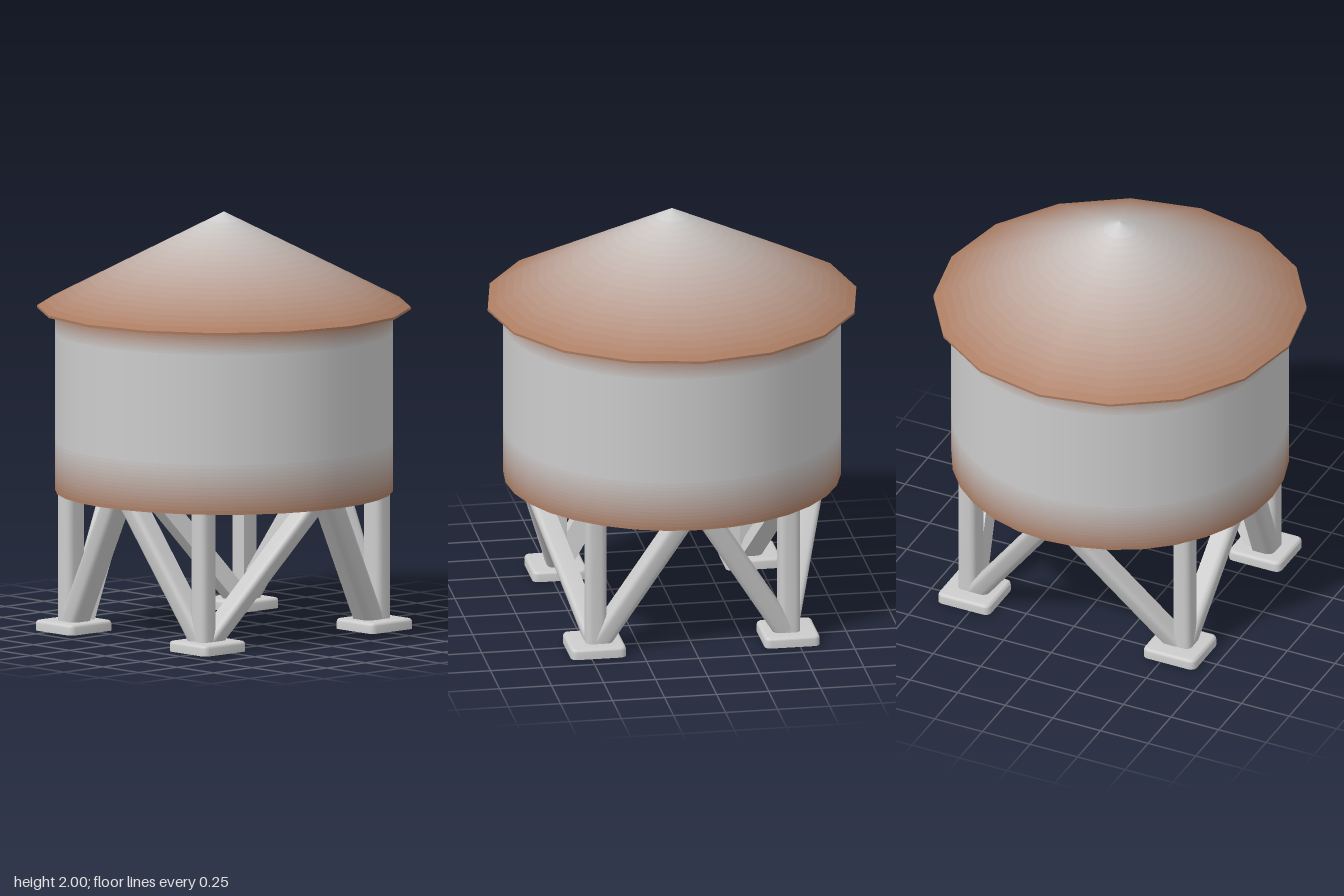
import * as THREE from 'three';
import { toCreasedNormals } from 'three/addons/utils/BufferGeometryUtils.js';

const GREY = new THREE.Color(0xcccccc);
const RUST = new THREE.Color(0xaa7a5e);
const FLOOR_Y = 0.665, EAVE_Y = 1.535;

// Grey blended towards rust: t = 0 is clean metal, t = 1 is fully rusted
function metal(t = 0) {
  return new THREE.MeshStandardMaterial({ color: GREY.clone().lerp(RUST, t) });
}

function add(parent, name, geometry, material) {
  const mesh = new THREE.Mesh(geometry, material);
  mesh.name = name;
  parent.add(mesh);
  return mesh;
}

// Open ring between two radii and two heights
function band(parent, name, rTop, rBottom, yTop, yBottom, sides, rust) {
  const g = new THREE.CylinderGeometry(rTop, rBottom, yTop - yBottom, sides, 1, true);
  g.translate(0, (yTop + yBottom) / 2, 0);
  add(parent, name, g, metal(rust));
}

// Rectangle w by d in plan; a corner is rounded unless isSharp(cx, cz) says otherwise.
// Signs sx, sz mirror it into the wanted quadrant.
function plan(w, d, r, sx, sz, isSharp = () => false) {
  const points = [];
  [[1, 1], [-1, 1], [-1, -1], [1, -1]].forEach(([cx, cz], i) => {
    const sharp = isSharp(cx, cz);
    const rad = sharp ? 0 : r;
    const steps = sharp ? 0 : 4;
    for (let k = 0; k <= steps; k++) {
      const a = (i + k / 4) * Math.PI / 2;
      const x = cx * (w / 2 - rad) + rad * Math.cos(a);
      const z = cz * (d / 2 - rad) + rad * Math.sin(a);
      points.push(new THREE.Vector2(sx * x, -sz * z));
    }
  });
  return new THREE.Shape(points);
}

// Upright prism whose top is shifted sideways, so both ends are cut level
function strut(shape, from, to) {
  const h = to.y - from.y;
  const g = new THREE.ExtrudeGeometry(shape, { depth: h, bevelEnabled: false });
  g.rotateX(-Math.PI / 2);
  const p = g.attributes.position;
  for (let i = 0; i < p.count; i++) {
    const t = p.getY(i) / h;
    p.setXYZ(i,
      p.getX(i) + THREE.MathUtils.lerp(from.x, to.x, t),
      p.getY(i) + from.y,
      p.getZ(i) + THREE.MathUtils.lerp(from.z, to.z, t));
  }
  return toCreasedNormals(g, 0.7);
}

// Foot plate: rounded upper rim, flat underside
function footPlate(sx, sz) {
  const g = new THREE.ExtrudeGeometry(plan(0.275, 0.265, 0.03, sx, sz), {
    depth: 0.035, bevelThickness: 0.015, bevelSize: 0.015, bevelOffset: -0.015, bevelSegments: 3,
  });
  g.rotateX(-Math.PI / 2);
  const p = g.attributes.position;
  for (let i = 0; i < p.count; i++) p.setY(i, Math.max(0, p.getY(i)));
  g.translate(0.54 * sx, 0, 0.465 * sz);
  return toCreasedNormals(g, 0.7);
}

export function createModel() {
  const model = new THREE.Group();
  model.name = 'waterTank';

  // Tank wall: rust fades out from both rims
  const wall = new THREE.Group();
  wall.name = 'tankWall';
  const fade = (y0, y1, n) => {
    for (let i = 0; i < n; i++) {
      const a = THREE.MathUtils.lerp(y0, y1, i / n);
      const b = THREE.MathUtils.lerp(y0, y1, (i + 1) / n);
      band(wall, 'rustedWallBand', 0.8, 0.8, Math.max(a, b), Math.min(a, b), 32, 1 - (i + 0.5) / n);
    }
  };
  fade(FLOOR_Y, 0.92, 14);
  fade(EAVE_Y, 1.42, 10);
  band(wall, 'cleanWallBand', 0.8, 0.8, 1.42, 0.92, 32, 0);
  model.add(wall);

  // Tank floor: rings from clean centre to rusted rim, facing down
  const floor = new THREE.Group();
  floor.name = 'tankFloor';
  const floorRings = 14;
  for (let i = 0; i < floorRings; i++) {
    const g = new THREE.RingGeometry(0.8 * i / floorRings, 0.8 * (i + 1) / floorRings, 32);
    g.rotateX(Math.PI / 2).translate(0, FLOOR_Y, 0);
    add(floor, 'floorRing', g, metal((i + 0.5) / floorRings));
  }
  model.add(floor);

  // Sixteen-sided conical roof, rustier towards the eaves
  const roof = new THREE.Group();
  roof.name = 'roof';
  const roofBands = 22, roofR = 0.885, lipY = 1.547;
  for (let i = 0; i < roofBands; i++) {
    const a = i / roofBands, b = (i + 1) / roofBands;
    band(roof, 'roofBand', roofR * a, roofR * b,
      THREE.MathUtils.lerp(2, lipY, a), THREE.MathUtils.lerp(2, lipY, b), 16, (a + b) / 2);
  }
  band(roof, 'roofLip', roofR, roofR, lipY, EAVE_Y, 16, 1);
  const soffit = new THREE.CircleGeometry(roofR, 16);
  soffit.rotateX(Math.PI / 2).translate(0, EAVE_Y, 0);
  add(roof, 'roofUnderside', soffit, metal(1));
  model.add(roof);

  // Four corners: foot plate, leg and two outward-leaning braces
  const steel = metal();
  for (const sx of [1, -1]) {
    for (const sz of [1, -1]) {
      const corner = new THREE.Group();
      corner.name = (sz > 0 ? 'front' : 'back') + (sx > 0 ? 'Left' : 'Right') + 'Support';
      const at = (x, y, z) => new THREE.Vector3(x * sx, y, z * sz);
      add(corner, 'footPlate', footPlate(sx, sz), steel);
      add(corner, 'leg', strut(
        plan(0.095, 0.1, 0.03, sx, sz, (cx, cz) => cx < 0 && cz < 0),
        at(0.565, 0.04, 0.465), at(0.565, FLOOR_Y, 0.465)), steel);
      add(corner, 'frontBackBrace', strut(
        plan(0.12, 0.105, 0.035, sx, sz, (cx, cz) => cz < 0),
        at(0.52, 0.04, 0.46), at(0.06, FLOOR_Y, 0.675)), steel);
      add(corner, 'sideBrace', strut(
        plan(0.1, 0.12, 0.035, sx, sz, (cx) => cx < 0),
        at(0.56, 0.04, 0.45), at(0.65, FLOOR_Y, 0.06)), steel);
      model.add(corner);
    }
  }
  return model;
}
